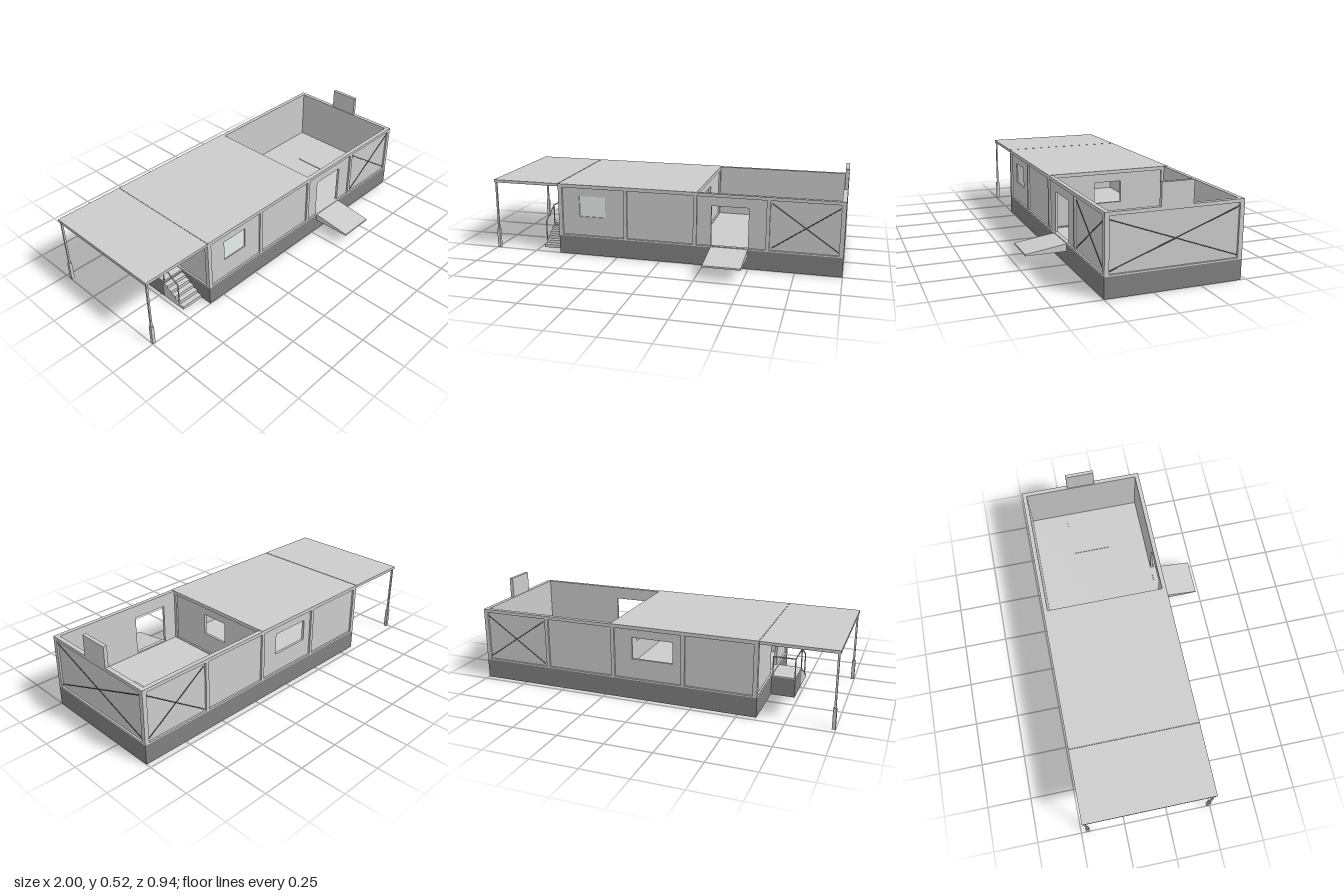
import * as THREE from 'three';

const grey = new THREE.MeshStandardMaterial({ color: 0xcccccc });
const dark = new THREE.MeshStandardMaterial({ color: 0x808080 });
const wire = new THREE.MeshStandardMaterial({ color: 0x555555 });
const pale = new THREE.MeshStandardMaterial({ color: 0xe4eeeb, side: THREE.DoubleSide });

// Box given by its minimum and maximum along each axis
function box(parent, name, x0, x1, y0, y1, z0, z1, material = grey) {
  const mesh = new THREE.Mesh(new THREE.BoxGeometry(x1 - x0, y1 - y0, z1 - z0), material);
  mesh.position.set((x0 + x1) / 2, (y0 + y1) / 2, (z0 + z1) / 2);
  mesh.name = name;
  parent.add(mesh);
  return mesh;
}

// Thin round bar between two points
function bar(parent, name, a, b, radius, material = grey) {
  const from = new THREE.Vector3(...a), to = new THREE.Vector3(...b);
  const dir = to.clone().sub(from);
  const mesh = new THREE.Mesh(new THREE.CylinderGeometry(radius, radius, dir.length(), 6), material);
  mesh.position.copy(from).add(to).multiplyScalar(0.5);
  mesh.quaternion.setFromUnitVectors(new THREE.Vector3(0, 1, 0), dir.normalize());
  mesh.name = name;
  parent.add(mesh);
}

const FLOOR = 0.11, WALL = 0.3;

// Framed wall facing local +z: recessed panel with openings [x0, x1, y0, y1],
// posts between the bays and wire cross braces in the listed bays
function wall(name, length, bays, holes = [], braced = []) {
  const g = new THREE.Group();
  g.name = name;
  const h = length / 2;
  const shape = new THREE.Shape([[-h, 0], [h, 0], [h, WALL], [-h, WALL]].map(p => new THREE.Vector2(...p)));
  for (const [x0, x1, y0, y1] of holes) {
    shape.holes.push(new THREE.Path([[x0, y0], [x0, y1], [x1, y1], [x1, y0]].map(p => new THREE.Vector2(...p))));
  }
  const panel = new THREE.Mesh(new THREE.ExtrudeGeometry(shape, { depth: 0.014, bevelEnabled: false }), grey);
  panel.position.z = -0.024;
  panel.name = 'wallPanel';
  g.add(panel);
  box(g, 'topRail', -h, h, WALL - 0.018, WALL, -0.022, 0);
  box(g, 'bottomRail', -h, h, 0, 0.005, -0.022, 0);
  const step = length / bays;
  for (let i = 0; i <= bays; i++) {
    const c = Math.min(Math.max(-h + i * step, -h + 0.01), h - 0.01);
    box(g, 'wallPost', c - 0.01, c + 0.01, 0, WALL, -0.022, 0);
  }
  for (const i of braced) {
    const l = -h + i * step + 0.02, r = l + step - 0.04;
    bar(g, 'crossBrace', [l, 0.017, -0.007], [r, 0.265, -0.007], 0.0022, wire);
    bar(g, 'crossBrace', [l, 0.265, -0.007], [r, 0.017, -0.007], 0.0022, wire);
  }
  return g;
}

export function createModel() {
  const model = new THREE.Group();
  model.name = 'cabin';

  // Foundation and floor
  box(model, 'foundation', -0.6, 1, 0, FLOOR - 0.003, -0.47, 0.25, dark);
  box(model, 'floor', -0.6, 1, FLOOR - 0.003, FLOOR, -0.47, 0.25);
  box(model, 'floorPlate', 0.69, 0.92, FLOOR, FLOOR + 0.004, -0.23, 0);

  // Outer walls
  const front = wall('frontWall', 1.6, 4,
    [[-0.675, -0.52, 0.115, 0.235], [0.09, 0.295, 0.003, 0.23]], [3]);
  front.position.set(0.2, FLOOR, 0.25);
  const back = wall('backWall', 1.6, 4, [[0.11, 0.34, 0.115, 0.235]], [0]);
  back.position.set(0.2, FLOOR, -0.47);
  back.rotation.y = Math.PI;
  const right = wall('bracedEndWall', 0.72, 1, [], [0]);
  right.position.set(1, FLOOR, -0.11);
  right.rotation.y = Math.PI / 2;
  const left = wall('porchEndWall', 0.72, 1, [[-0.03, 0.12, 0.003, 0.23]]);
  left.position.set(-0.6, FLOOR, -0.11);
  left.rotation.y = -Math.PI / 2;

  // Partition with a window, between the covered and the open room
  const partition = wall('partitionWall', 0.68, 1, [[-0.09, 0.07, 0.115, 0.235]]);
  partition.position.set(0.21, FLOOR, -0.11);
  partition.rotation.y = Math.PI / 2;
  model.add(front, back, right, left, partition);

  // Front window pane
  box(model, 'windowPane', -0.475, -0.32, 0.225, 0.345, 0.23, 0.234, pale);

  // Raised panel on the end wall
  box(model, 'parapetPanel', 0.98, 1, 0.41, 0.525, -0.195, -0.028);

  // Roof in two sections
  box(model, 'mainRoof', -0.598, 0.21, 0.396, 0.412, -0.47, 0.25);
  box(model, 'porchRoof', -1, -0.602, 0.396, 0.412, -0.47, 0.25);

  // Porch posts with thicker feet
  for (const z of [-0.46, 0.24]) {
    box(model, 'porchPost', -0.995, -0.985, 0.1, 0.397, z - 0.005, z + 0.005);
    box(model, 'postFoot', -0.999, -0.981, 0, 0.112, z - 0.009, z + 0.009);
  }

  // Entrance ramp, profile drawn in z and y
  const profile = new THREE.Shape([[0.24, 0.07], [0.472, 0.07], [0.472, 0.079], [0.25, 0.111], [0.24, 0.111]]
    .map(p => new THREE.Vector2(...p)));
  const ramp = new THREE.Mesh(new THREE.ExtrudeGeometry(profile, { depth: 0.205, bevelEnabled: false }), grey);
  ramp.rotation.y = -Math.PI / 2;
  ramp.position.x = 0.495;
  ramp.name = 'ramp';
  model.add(ramp);

  // Porch landing and steps
  const porch = new THREE.Group();
  porch.name = 'porchSteps';
  box(porch, 'landing', -0.73, -0.6, 0, 0.104, -0.15, 0.03, dark);
  box(porch, 'landingTop', -0.73, -0.6, 0.104, FLOOR, -0.15, 0.03);
  for (let i = 0; i < 5; i++) {
    box(porch, 'step', -0.73, -0.6, 0, 0.0915 - i * 0.0183, 0.03 + i * 0.03, 0.06 + i * 0.03);
  }

  // Handrail around the landing and down the steps
  const rail = [[-0.605, 0.22, -0.145], [-0.727, 0.22, -0.145], [-0.727, 0.22, 0.03], [-0.727, 0.15, 0.145]];
  for (let i = 0; i < rail.length - 1; i++) bar(porch, 'handrail', rail[i], rail[i + 1], 0.0035);
  rail.forEach(([x, y, z], i) => bar(porch, 'railPost', [x, i === 3 ? 0.03 : FLOOR - 0.01, z], [x, y, z], 0.0035));
  model.add(porch);

  return model;
}
